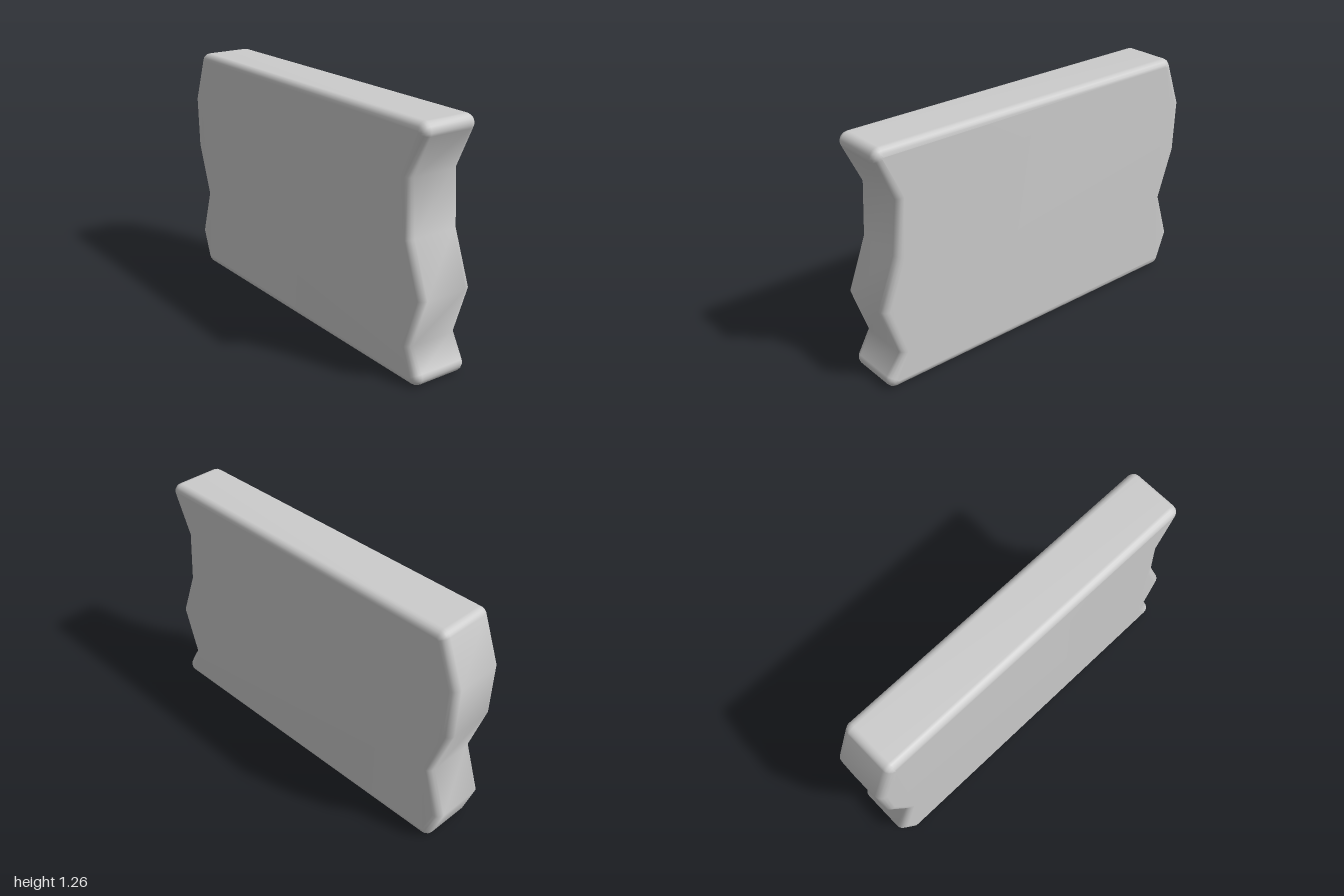
import * as THREE from 'three';
import { mergeVertices } from 'three/addons/utils/BufferGeometryUtils.js';

const BEVEL = 0.04;
const CORNER = 0.045;
const DEPTH = 0.31;

// Plank silhouette: straight top and bottom, jagged broken ends, rounded corners
function plankOutline() {
  const shape = new THREE.Shape();
  const corner = (x, y, from, to) =>
    shape.absarc(x, y, CORNER, THREE.MathUtils.degToRad(from), THREE.MathUtils.degToRad(to), false);
  const jag = (points) => points.forEach(([x, y]) => shape.lineTo(x, y));

  corner(0.937, 0.045, -90, 29);
  jag([[0.91, 0.185], [0.995, 0.44], [0.895, 0.705], [0.878, 0.99]]);
  corner(0.935, 1.215, -26, 90);
  corner(-0.87, 1.215, 90, 159.5);
  jag([[-1, 0.99], [-0.988, 0.71], [-0.895, 0.44], [-0.975, 0.185]]);
  corner(-0.875, 0.045, 203, 270);
  return shape;
}

export function createModel() {
  const group = new THREE.Group();
  group.name = 'brokenPlank';

  // Bevel is offset inward so the silhouette keeps its size
  let geometry = new THREE.ExtrudeGeometry(plankOutline(), {
    depth: DEPTH - 2 * BEVEL,
    curveSegments: 3,
    bevelEnabled: true,
    bevelSize: BEVEL,
    bevelThickness: BEVEL,
    bevelOffset: -BEVEL,
    bevelSegments: 4,
  });
  geometry.translate(0, 0, -DEPTH / 2 + BEVEL);

  // Weld the surface and smooth it; the large faces keep the flats flat
  geometry.deleteAttribute('uv');
  geometry.deleteAttribute('normal');
  geometry = mergeVertices(geometry, 1e-4);
  geometry.computeVertexNormals();

  const plank = new THREE.Mesh(geometry, new THREE.MeshStandardMaterial({ color: 0xcccccc }));
  plank.name = 'plank';
  group.add(plank);
  return group;
}
